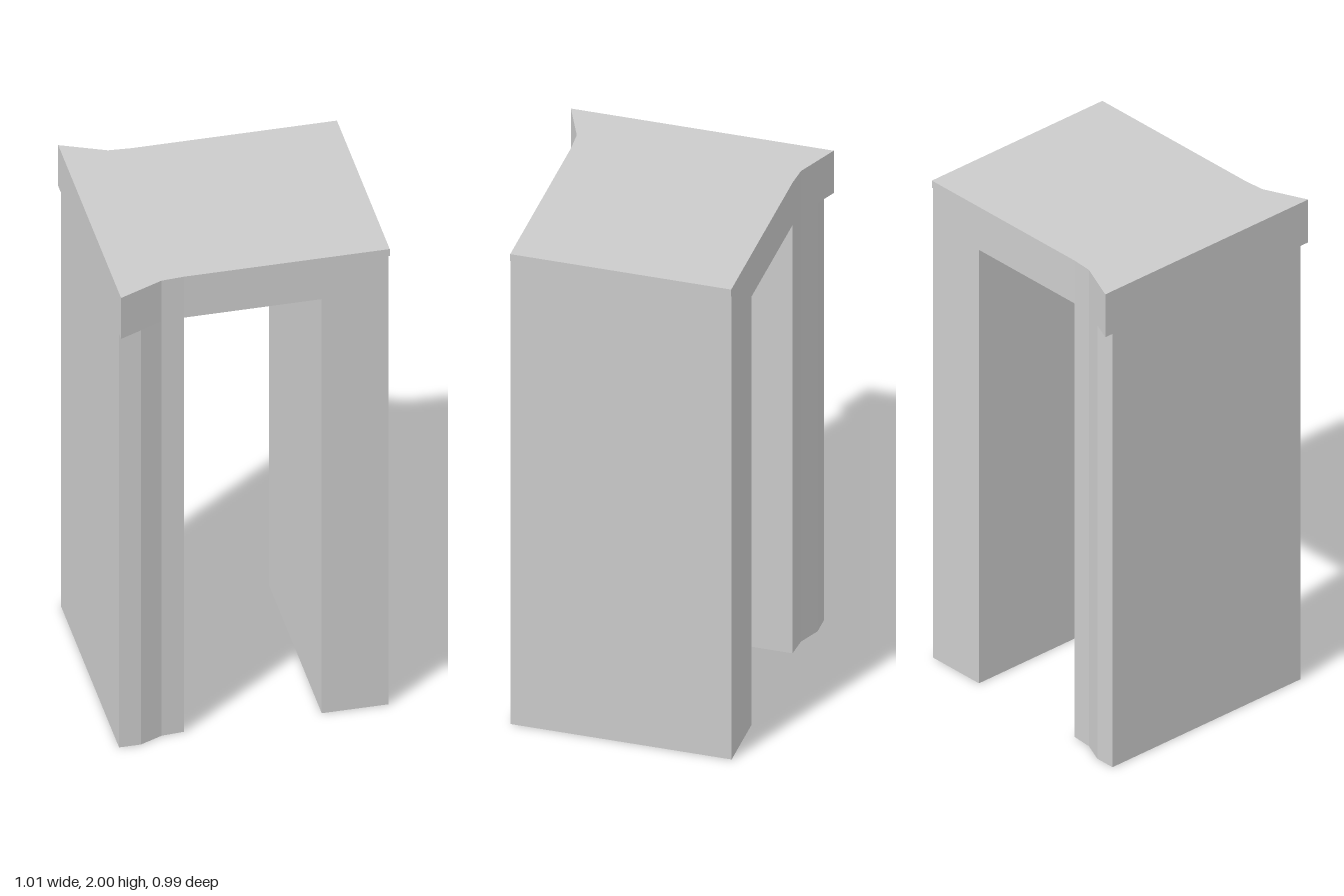
import * as THREE from 'three';

const material = new THREE.MeshStandardMaterial({ color: 0xcccccc, flatShading: true });

// Extrude a plan outline of [x, z] points upward from y0 to y1
function prism(name, plan, y0, y1) {
  const shape = new THREE.Shape(plan.map(([x, z]) => new THREE.Vector2(x, -z)));
  const geometry = new THREE.ExtrudeGeometry(shape, { depth: y1 - y0, bevelEnabled: false });
  geometry.rotateX(-Math.PI / 2).translate(0, y0, 0);
  const mesh = new THREE.Mesh(geometry, material);
  mesh.name = name;
  return mesh;
}

// Join a front edge to the back edge, which sits slightly nearer the centre
function plan(front) {
  const back = front.map(([x, z]) => [x, 0.007 - z]).reverse();
  return [...front, ...back];
}

export function createModel() {
  const group = new THREE.Group();
  group.name = 'archway';
  const underside = 1.82, lipBase = 1.97;

  // Plain pier on the left
  group.add(prism('plainPier', plan([[0.255, 0.42], [0.502, 0.42]]), 0, underside));

  // Pier with stepped, chamfered pilasters front and back
  group.add(prism('pilasterPier', plan([
    [-0.506, 0.463], [-0.425, 0.463], [-0.34, 0.426], [-0.255, 0.42],
  ]), 0, underside));

  // Lintel flaring out into a capital over the pilasters
  const flare = [[-0.507, 0.499], [-0.34, 0.426], [-0.255, 0.42]];
  group.add(prism('lintel', plan([...flare, [0.502, 0.42]]), underside, lipBase));

  // Top course with a slight lip at the plain end
  group.add(prism('topCourse', plan([...flare, [0.507, 0.42]]), lipBase, 2));
  return group;
}
